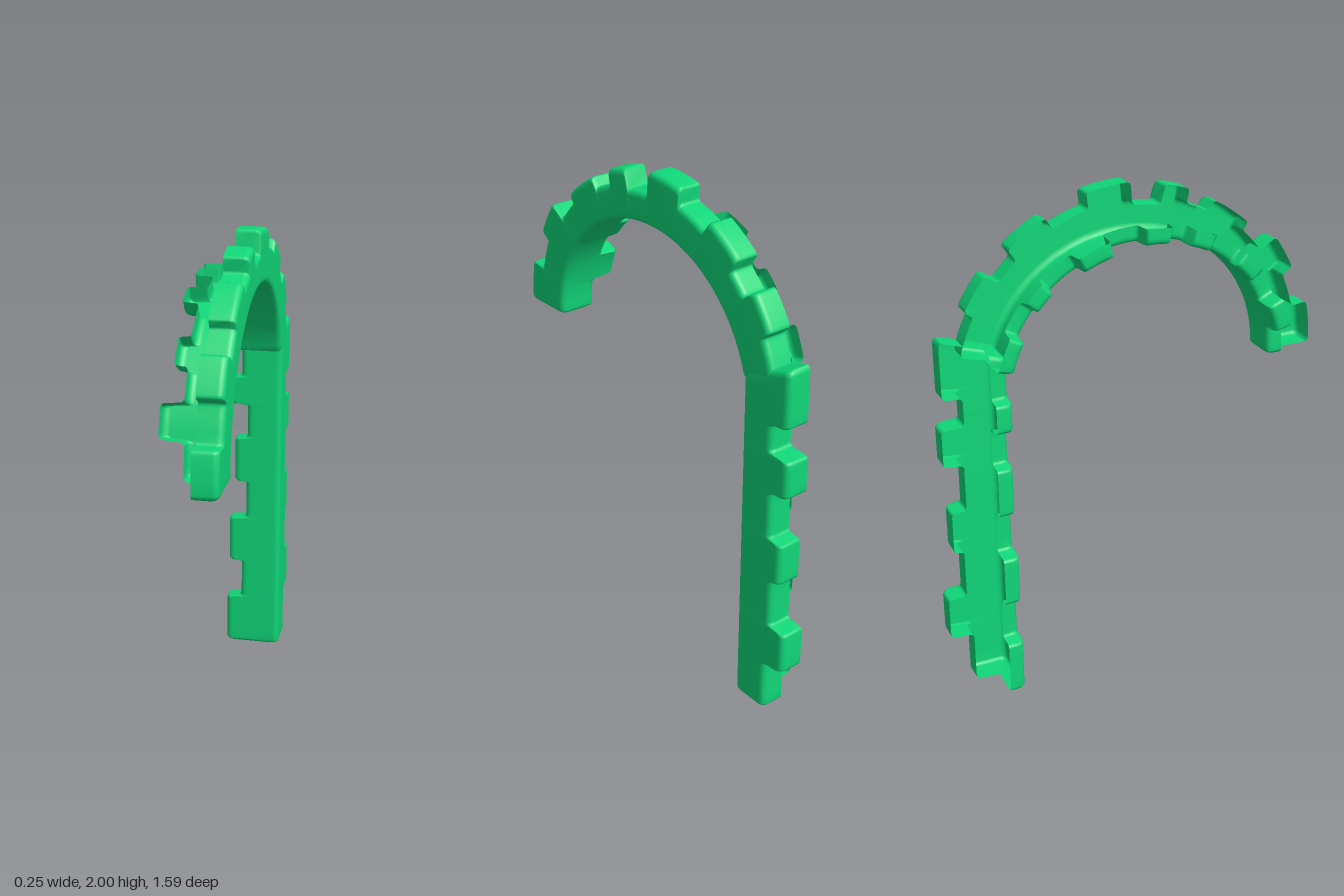
import * as THREE from 'three';

const X_OUT = 0.122;    // outer face of the cheek
const X_IN = 0.025;     // open rim of the cheek
const FLANGE = 0.065;   // height of the soffit flange
const CENTRE_Y = 1.24;  // height of the arch centre
const { degToRad, lerp, clamp } = THREE.MathUtils;

// pillar courses: bottom, top, flange edge x, cheek depth
const PILLAR = [
  [0.005, 0.23, -0.115, 0.70],
  [0.23, 0.41, -0.05, 0.795],
  [0.41, 0.615, -0.105, 0.72],
  [0.615, 0.79, -0.03, 0.76],
  [0.79, 0.99, -0.08, 0.70],
  [0.99, 1.145, -0.025, 0.78],
  [1.145, 1.265, -0.10, 0.69],
  [1.265, 1.43, -0.05, 0.77],
];

// arch courses: start and end angle, flange edge x, cheek outer radius
const ARCH = [
  [0, 13, -0.035, 0.80],
  [13, 25, -0.128, 0.73],
  [25, 37, -0.045, 0.78],
  [37, 47.5, -0.095, 0.70],
  [47.5, 62, -0.05, 0.737],
  [62, 71, -0.112, 0.69],
  [71, 79.5, -0.035, 0.748],
  [79.5, 90, -0.105, 0.672],
  [90, 104, -0.035, 0.762],
  [104, 117, -0.128, 0.70],
  [117, 131, -0.055, 0.75],
  [131, 140, -0.095, 0.695],
  [140, 152, -0.05, 0.755],
  [152, 165, -0.118, 0.715],
];

// open L-shaped section as [x, radius] points, corners rounded
function section(edge, outer, inner, inset) {
  const x1 = X_OUT - inset, r0 = inner + inset, x0 = edge + inset, r1 = outer - inset;
  const rim = inner + FLANGE;
  const corners = [[X_IN, r1], [x1, r1], [x1, r0], [x0, r0], [x0, rim]];
  const points = [corners[0]];
  for (let i = 1; i < 4; i++) {
    const c = corners[i];
    const toward = (o, d) => {
      const len = Math.hypot(o[0] - c[0], o[1] - c[1]);
      return [c[0] + (o[0] - c[0]) / len * d, c[1] + (o[1] - c[1]) / len * d];
    };
    const a = toward(corners[i - 1], 0.026), b = toward(corners[i + 1], 0.026);
    for (let k = 0; k <= 4; k++) {
      const t = k / 4, u = 1 - t;
      points.push([0, 1].map(j => u * u * a[j] + 2 * u * t * c[j] + t * t * b[j]));
    }
  }
  points.push(corners[4]);
  return points;
}

// lofts one continuous stone skin through all courses;
// e is the softness of the steps, innerAt(s) the soffit, place(x, r, s) a point
function loft(courses, e, innerAt, place, capEnd) {
  const rings = [];
  const ring = (s, edge, outer, inset = 0) => {
    const pts = section(edge, outer, innerAt(s), inset);
    rings.push(pts.map(([x, r]) => place(x, r, s)));
    return pts;
  };
  // end wall: the skin folds in to the open rims
  const cap = (s, edge, outer) => {
    const rim = innerAt(s) + FLANGE;
    rings.push(section(edge, outer, innerAt(s), 0.012)
      .map(([x, r]) => place(Math.min(x, X_IN), Math.max(r, rim), s)));
  };
  courses.forEach(([s0, s1, edge, outer], i) => {
    const prev = courses[i - 1], next = courses[i + 1];
    const blend = (s, other, t) => ring(s, lerp(edge, other[2], t), lerp(outer, other[3], t));
    if (prev) {
      blend(s0 + 0.15 * e, prev, 0.14);
      blend(s0 + 0.5 * e, prev, 0.04);
    } else {
      cap(s0, edge, outer);
      ring(s0, edge, outer, 0.012);
      ring(s0 + 0.4 * e, edge, outer, 0.004);
    }
    for (let k = 0; k <= 4; k++) ring(lerp(s0 + e, s1 - e, k / 4), edge, outer);
    if (next) {
      blend(s1 - 0.5 * e, next, 0.04);
      blend(s1 - 0.15 * e, next, 0.14);
    } else {
      ring(s1 - 0.4 * e, edge, outer, 0.004);
      ring(s1, edge, outer, 0.012);
      if (capEnd) cap(s1, edge, outer);
    }
  });

  const n = rings[0].length, index = [];
  for (let i = 0; i < rings.length - 1; i++) {
    for (let j = 0; j < n - 1; j++) {
      const a = i * n + j;
      index.push(a, a + n, a + 1, a + 1, a + n, a + n + 1);
    }
  }
  const g = new THREE.BufferGeometry();
  g.setAttribute('position', new THREE.Float32BufferAttribute(rings.flat(2), 3));
  g.setIndex(index);
  g.computeVertexNormals();
  return g;
}

export function createModel() {
  const model = new THREE.Group();
  model.name = 'quoinArch';
  const material = new THREE.MeshStandardMaterial({ color: 0x10d678, side: THREE.DoubleSide });
  const add = (name, geometry) => {
    const mesh = new THREE.Mesh(geometry, material);
    mesh.name = name;
    model.add(mesh);
  };

  // straight pillar, its top stone rising towards the back
  add('pillar', loft(PILLAR, 0.016, () => 0.538, (x, r, y) => {
    const lift = 0.32 * Math.max(0, r - 0.56) * clamp((y - 1.3) / 0.13, 0, 1);
    return [x, y + lift, -r];
  }, true));

  // arch, running from the pillar over the crown to its free end
  const fromPillar = ARCH.map(([a0, a1, edge, outer]) => [-a1, -a0, edge, outer]).reverse();
  add('arch', loft(fromPillar, 1.4,
    s => 0.55 + 0.022 * Math.max(0, Math.cos(degToRad(s))),
    (x, r, s) => {
      const a = degToRad(-s);
      return [x, CENTRE_Y + r * Math.sin(a), r * Math.cos(a)];
    }, true));

  return model;
}
